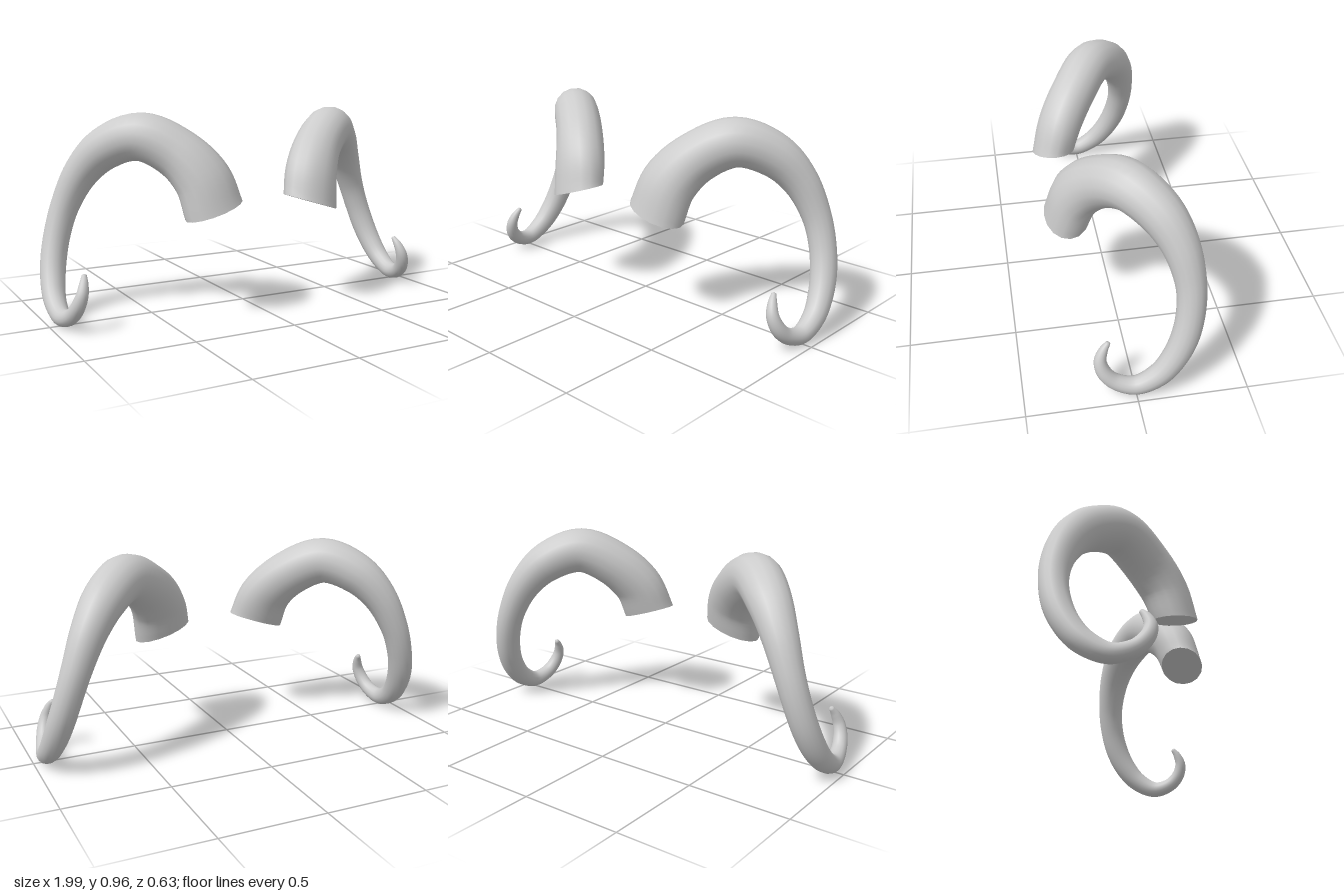
import * as THREE from 'three';

// Spine stations of one horn, root to tip: x, y, z, half-width across x, half-width across z
const STATIONS = [
  [0.265, 0.515, 0.21, 0.146, 0.107],
  [0.30, 0.655, 0.165, 0.138, 0.112],
  [0.39, 0.775, 0.082, 0.122, 0.114],
  [0.53, 0.85, -0.025, 0.115, 0.113],
  [0.665, 0.79, -0.143, 0.102, 0.102],
  [0.76, 0.675, -0.214, 0.084, 0.084],
  [0.833, 0.52, -0.248, 0.069, 0.069],
  [0.877, 0.39, -0.244, 0.064, 0.064],
  [0.909, 0.27, -0.215, 0.062, 0.062],
  [0.93, 0.17, -0.165, 0.058, 0.058],
  [0.942, 0.095, -0.10, 0.052, 0.052],
  [0.941, 0.044, 0, 0.043, 0.043],
  [0.926, 0.066, 0.09, 0.037, 0.037],
  [0.91, 0.115, 0.138, 0.034, 0.034],
  [0.892, 0.172, 0.154, 0.029, 0.029],
  [0.877, 0.223, 0.138, 0.021, 0.021],
  [0.866, 0.257, 0.114, 0.011, 0.011],
];
const SIDES = 16;
const STEPS = 96;

// Tapered tube swept along the spine with a transported frame; side = 1 or -1 mirrors x
function hornGeometry(side) {
  const spine = new THREE.CatmullRomCurve3(STATIONS.map(([x, y, z]) => new THREE.Vector3(x * side, y, z)));
  const size = new THREE.CatmullRomCurve3(STATIONS.map((s, i) => new THREE.Vector3(s[3], s[4], i * 0.03)));
  const rootNormal = new THREE.Vector3(0.3 * side, 0.95, 0).normalize();
  const b = new THREE.Vector3(0, 0, 1);
  const a = new THREE.Vector3();
  const pos = [];
  const index = [];

  for (let i = 0; i <= STEPS; i++) {
    const u = i / STEPS;
    const c = spine.getPoint(u);
    const r = size.getPoint(u);
    // the root section lies on a tilted plane and eases into the spine direction
    const t = rootNormal.clone().lerp(spine.getTangent(u), Math.min(1, u / 0.1)).normalize();
    b.addScaledVector(t, -b.dot(t)).normalize();
    a.crossVectors(b, t);
    for (let j = 0; j < SIDES; j++) {
      const q = (j / SIDES) * Math.PI * 2;
      const p = c.clone().addScaledVector(a, r.x * Math.cos(q)).addScaledVector(b, r.y * Math.sin(q));
      pos.push(p.x, p.y, p.z);
      if (i < STEPS) {
        const k = i * SIDES + j;
        const n = i * SIDES + ((j + 1) % SIDES);
        index.push(k, n, k + SIDES, n, n + SIDES, k + SIDES);
      }
    }
  }

  // flat root cap with its own vertices, so its edge stays sharp
  const cap = pos.length / 3;
  pos.push(...pos.slice(0, SIDES * 3));
  const root = spine.getPoint(0);
  pos.push(root.x, root.y, root.z);
  for (let j = 0; j < SIDES; j++) index.push(cap + SIDES, cap + ((j + 1) % SIDES), cap + j);

  // small blunt point closing the tip
  const last = STEPS * SIDES;
  const tip = spine.getPoint(1).addScaledVector(spine.getTangent(1), 0.006);
  const tipIndex = pos.length / 3;
  pos.push(tip.x, tip.y, tip.z);
  for (let j = 0; j < SIDES; j++) index.push(tipIndex, last + j, last + ((j + 1) % SIDES));

  const geometry = new THREE.BufferGeometry();
  geometry.setAttribute('position', new THREE.Float32BufferAttribute(pos, 3));
  geometry.setIndex(index);
  geometry.computeVertexNormals();
  return geometry;
}

export function createModel() {
  const model = new THREE.Group();
  model.name = 'horns';
  const material = new THREE.MeshStandardMaterial({ color: 0xcccccc });
  for (const side of [1, -1]) {
    const horn = new THREE.Mesh(hornGeometry(side), material);
    horn.name = side > 0 ? 'leftHorn' : 'rightHorn';
    model.add(horn);
  }
  return model;
}
